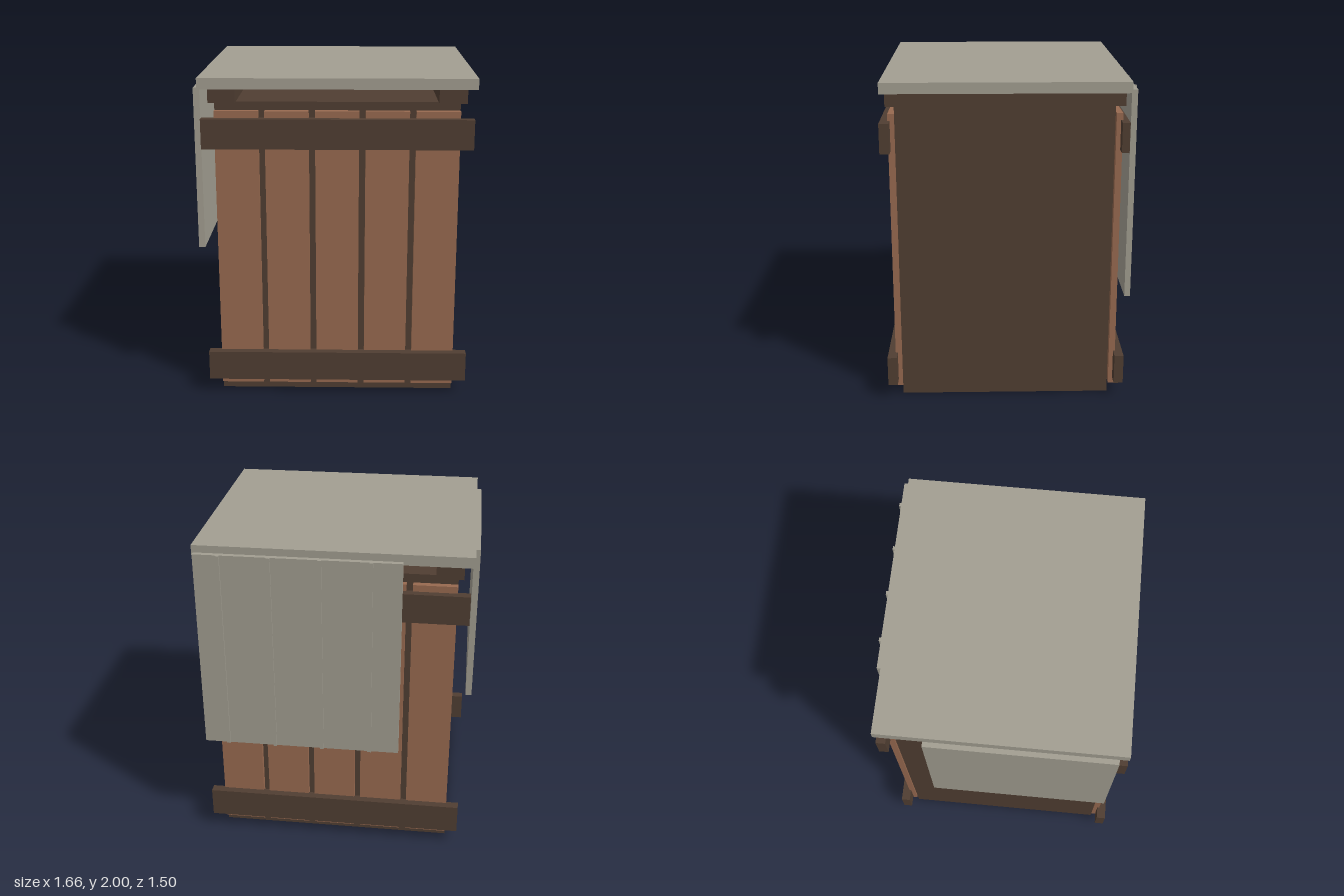
import * as THREE from 'three';

const material = (color) => new THREE.MeshStandardMaterial({ color });

export function createModel() {
  const model = new THREE.Group();
  const dark = material(0x503e32);
  const wood = material(0x986a50);
  const grey = material(0xa29e91);

  // Box given by its extents along each axis
  const box = (name, mat, [x0, x1], [y0, y1], [z0, z1]) => {
    const mesh = new THREE.Mesh(new THREE.BoxGeometry(x1 - x0, y1 - y0, z1 - z0), mat);
    mesh.position.set((x0 + x1) / 2, (y0 + y1) / 2, (z0 + z1) / 2);
    mesh.name = name;
    model.add(mesh);
  };

  // Crate body
  box('body', dark, [-0.715, 0.737], [0, 1.85], [-0.625, 0.665]);

  // Vertical planks and horizontal battens on the front and back
  const faces = [
    { side: 'front', plankZ: [0.665, 0.705], battenZ: [0.692, 0.75] },
    { side: 'back', plankZ: [-0.67, -0.632], battenZ: [-0.715, -0.658] },
  ];
  for (const { side, plankZ, battenZ } of faces) {
    for (let i = 0; i < 5; i++) {
      const x = -0.715 + i * 0.298;
      box(`${side}Plank${i + 1}`, wood, [x, x + 0.26], [0.055, 1.8], plankZ);
    }
    box(`${side}LowerBatten`, dark, [-0.79, 0.815], [0.095, 0.28], battenZ);
    box(`${side}UpperBatten`, dark, [-0.79, 0.815], [1.58, 1.76], battenZ);
  }

  // Runners that carry the lid
  box('rightRunner', dark, [-0.747, -0.587], [1.85, 1.935], [-0.68, 0.715]);
  box('leftRunner', dark, [0.607, 0.772], [1.85, 1.935], [-0.68, 0.715]);

  // Lid
  box('lid', grey, [-0.805, 0.83], [1.935, 2], [-0.708, 0.742]);

  // Hanging side panel
  box('sidePanel', grey, [-0.835, -0.797], [0.95, 1.935], [-0.425, 0.687]);

  // Hanging back panel with thin ridges
  box('backPanel', grey, [-0.4, 0.82], [0.685, 1.955], [-0.738, -0.703]);
  for (let i = 0; i < 4; i++) {
    const x = -0.22 + i * 0.297;
    box(`backPanelRidge${i + 1}`, grey, [x - 0.011, x + 0.011], [0.685, 1.955], [-0.75, -0.736]);
  }

  return model;
}
